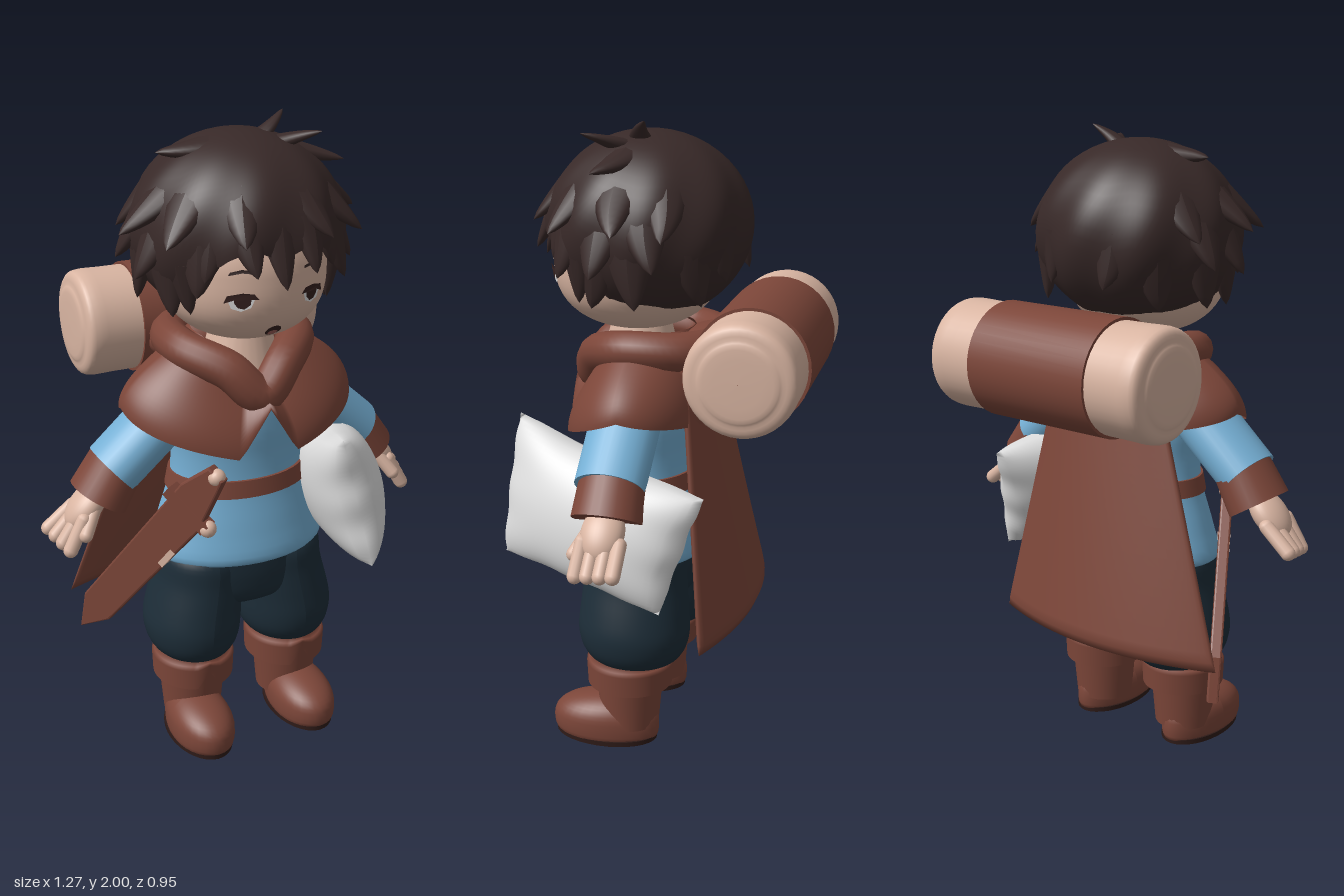
import * as THREE from 'three';
import { mergeGeometries } from 'three/addons/utils/BufferGeometryUtils.js';
import { ParametricGeometry } from 'three/addons/geometries/ParametricGeometry.js';

const V = (x, y, z) => new THREE.Vector3(x, y, z);
const { lerp, smoothstep } = THREE.MathUtils;
const colour = (name, hex, side = THREE.FrontSide) => {
  const m = new THREE.MeshStandardMaterial({ color: hex, side });
  m.name = name;
  return m;
};

export function createModel() {
  const model = new THREE.Group();
  model.name = 'traveller';
  const skin = colour('skin and canvas', 0xd9b5a2);
  const brown = colour('brown leather', 0x7c4639, THREE.DoubleSide);
  const blue = colour('blue cloth', 0x75afd4);
  const navy = colour('dark trousers', 0x1d2d38);
  const hair = colour('dark hair', 0x382928, THREE.DoubleSide);
  const white = colour('white linen', 0xdfdfdf, THREE.DoubleSide);
  const sole = colour('sole', 0x2e1b18);
  const ink = colour('eye', 0x35211f);
  const rose = colour('mouth', 0xa0605a);

  const add = (name, geo, mat, x = 0, y = 0, z = 0, sx = 1, sy = 1, sz = 1) => {
    const m = new THREE.Mesh(geo, mat);
    m.name = name;
    m.position.set(x, y, z);
    m.scale.set(sx, sy, sz);
    model.add(m);
    return m;
  };
  const ball = (name, mat, x, y, z, rx, ry, rz) => add(name, new THREE.SphereGeometry(1, 36, 24), mat, x, y, z, rx, ry, rz);
  const lathe = pts => new THREE.LatheGeometry(new THREE.SplineCurve(pts.map(p => new THREE.Vector2(...p))).getPoints(32), 40);
  const surface = (fn, nu, nv) => new ParametricGeometry((u, v, t) => t.copy(fn(u, v)), nu, nv);
  // Moves every vertex by a rule
  const reshape = (geo, rule) => {
    const p = geo.attributes.position;
    for (let i = 0; i < p.count; i++) p.setXYZ(i, ...rule(p.getX(i), p.getY(i), p.getZ(i)));
    geo.computeVertexNormals();
    return geo;
  };
  // Rod between two points, widened along its local z
  const rod = (name, mat, a, b, ra, rb, wide = 1) => {
    const m = add(name, new THREE.CylinderGeometry(rb, ra, a.distanceTo(b), 28), mat);
    m.position.copy(a).lerp(b, 0.5);
    m.quaternion.setFromUnitVectors(V(0, 1, 0), b.clone().sub(a).normalize());
    m.scale.z = wide;
    return m;
  };
  const finger = (name, a, b, r) => {
    rod(name, skin, a, b, r, r).geometry = new THREE.CapsuleGeometry(r, a.distanceTo(b), 6, 12);
  };

  // Body
  add('tunic', lathe([[0.2, 0.655], [0.287, 0.65], [0.265, 0.75], [0.225, 0.88], [0.215, 0.98], [0.22, 1.08], [0.2, 1.19], [0.1, 1.27]]), blue, 0, 0, 0.075, 1, 1, 0.72);
  add('belt', new THREE.CylinderGeometry(0.226, 0.237, 0.055, 40), brown, 0, 0.892, 0.075, 1, 1, 0.735);
  add('neck', new THREE.CylinderGeometry(0.08, 0.15, 0.27, 28), skin, 0, 1.295, 0.1);
  add('trouserSeat', lathe([[0.001, 0.45], [0.15, 0.46], [0.25, 0.5], [0.276, 0.58], [0.27, 0.68]]), navy, 0, 0, 0.083, 1, 1, 0.63);

  for (const s of [1, -1]) {
    const side = s > 0 ? 'left' : 'right';
    // Legs and boots
    const leg = lathe([[0.02, 0.275], [0.105, 0.285], [0.142, 0.325], [0.156, 0.39], [0.152, 0.47], [0.144, 0.56], [0.138, 0.64], [0.1, 0.7]]);
    add(side + 'TrouserLeg', reshape(leg, (x, y, z) => [x - s * 0.03 * smoothstep(y, 0.38, 0.62), y, z]), navy, s * 0.165, 0, 0.085, 1, 1, 1.17);
    add(side + 'BootShaft', new THREE.CylinderGeometry(0.115, 0.095, 0.22, 32), brown, s * 0.172, 0.165, 0.1);
    add(side + 'BootCuff', surface((u, v) => {
      const a = (u - 0.5) * Math.PI * 2;
      const hem = 0.2 + 0.06 * Math.max(0, 1 - Math.abs(a) / 0.3);
      const r = lerp(0.11, 0.135, smoothstep(v, 0, 0.2)) - 0.004 * v;
      return V(r * Math.sin(a), lerp(0.295, hem, v), r * 1.06 * Math.cos(a));
    }, 64, 8), brown, s * 0.168, 0, 0.1);
    const foot = reshape(new THREE.SphereGeometry(1, 32, 24), (x, y, z) =>
      [x * (0.1 + 0.012 * z), Math.max(0.012, 0.05 + Math.sign(y) * Math.abs(y) ** 0.75 * (0.1 - 0.012 * z)), z * 0.18]);
    add(side + 'BootFoot', foot, brown, s * 0.185, 0, 0.178);
    add(side + 'Sole', new THREE.CylinderGeometry(1, 1, 0.016, 32), sole, s * 0.185, 0.008, 0.178, 0.1, 1, 0.172);

    // Arms and hands
    rod(side + 'Sleeve', blue, V(s * 0.2, 1.165, 0.08), V(s * 0.42, 0.97, 0.08), 0.088, 0.086, 1.25);
    rod(side + 'Cuff', brown, V(s * 0.4, 0.988, 0.075), V(s * 0.465, 0.884, 0.075), 0.086, 0.093, 1.17);
    ball(side + 'Palm', skin, s * 0.505, 0.862, 0.075, 0.045, 0.088, 0.066).rotation.z = s * 0.75;
    for (let i = 0; i < 4; i++) {
      const z = 0.018 + i * 0.037;
      finger(side + 'Finger', V(s * 0.53, 0.84, z), V(s * (0.61 - 0.01 * i), 0.775 - 0.008 * i, z * 1.12 - 0.006), 0.023);
    }
    finger(side + 'Thumb', V(s * 0.495, 0.86, 0.12), V(s * 0.535, 0.8, 0.155), 0.022);
  }

  // Shoulder mantle with a split front
  add('mantle', surface((u, v) => {
    const a = (u - 0.5) * Math.PI * 2, f = Math.abs(a), c = Math.cos(a);
    const hem = f < 0.25 ? lerp(1.18, 1.03, f / 0.25) : f < 1.57 ? lerp(1.03, 1.155, (f - 0.25) / 1.32) : lerp(1.155, 1.08, (f - 1.57) / 1.57);
    const top = 1.37 - 0.13 * Math.max(0, c) ** 3, e = Math.sin(v * Math.PI / 2);
    return V(lerp(0.14, 0.38, e) * Math.sin(a), lerp(top, hem, v), 0.07 + lerp(0.14, c > 0 ? 0.25 : 0.22, e) * c);
  }, 96, 16), brown);
  // Hood folded down around the neck
  const half = [[0.092, 1.285, 0.215], [0.185, 1.325, 0.1], [0.16, 1.325, -0.07]];
  const ring = [[0, 1.205, 0.25], ...half, [0, 1.32, -0.16], ...half.slice().reverse().map(([x, y, z]) => [-x, y, z])];
  add('hoodCollar', new THREE.TubeGeometry(new THREE.CatmullRomCurve3(ring.map(q => V(...q)), true), 64, 0.06, 14, true), brown);
  ball('foldedHood', brown, 0, 1.28, -0.13, 0.21, 0.1, 0.13);

  // Long back cape, closed with a rounded hem
  add('cape', surface((u, v) => {
    const t = u * Math.PI * 2, s = Math.cos(t);
    const th = 0.02 * Math.sign(Math.sin(t)) * Math.sqrt(Math.abs(Math.sin(t))) * Math.sqrt(Math.min(1, (1 - v) * 24));
    return V(lerp(0.2 * s, -0.065 + 0.425 * s, v), lerp(1.24, 0.42, v), lerp(-0.09, -0.27, v) + 0.09 * s * s * v + th);
  }, 48, 28), brown);

  // Bedroll with a raised core at each end
  const end = [[0.001, 0.412], [0.1, 0.41], [0.125, 0.402], [0.155, 0.395], [0.17, 0.365], [0.169, 0.25]];
  const canvas = lathe([...end.map(([r, y]) => [r, -y]), ...end.slice().reverse()]);
  add('bedroll', canvas, skin, 0, 1.312, -0.298).rotation.z = Math.PI / 2;
  add('bedrollWrap', new THREE.CylinderGeometry(0.178, 0.178, 0.445, 40), brown, 0, 1.312, -0.298).rotation.z = Math.PI / 2;

  // Pillow: four corners, rippled edges and a full bulge on both sides
  const [A, B, C, D] = [V(0.175, 1.1, 0.45), V(0.28, 0.665, 0.475), V(0.455, 0.59, -0.08), V(0.385, 0.95, -0.2)];
  const out = C.clone().sub(A).cross(B.clone().sub(D)).normalize();
  for (const s of [1, -1]) add('pillow', surface((u, v) => {
    const x = u * 2 - 1, y = v * 2 - 1, inner = (1 - x * x) * (1 - y * y);
    const px = 0.5 + 0.5 * x * (1 - 0.035 * (1 - y * y) + 0.01 * Math.cos(9 * y));
    const py = 0.5 + 0.5 * y * (1 - 0.05 * (1 - x * x) + 0.01 * Math.cos(9 * x));
    const p = A.clone().lerp(D, px).lerp(B.clone().lerp(C, px), py);
    return p.addScaledVector(out, s * 0.13 * Math.pow(Math.max(0, inner), 0.42));
  }, 36, 30), white);

  // Wooden sword hung at the right hip
  const sword = new THREE.Group();
  sword.name = 'sword';
  const blade = new THREE.Shape([[-0.02, 0], [0.03, 0], [0.06, 0.12], [0.058, 0.78], [0, 0.9], [-0.05, 0.78], [-0.065, 0.2]].map(q => new THREE.Vector2(...q)));
  const part = (name, geo, mat, x, y) => { const m = new THREE.Mesh(geo, mat); m.name = name; m.position.set(x, y, 0); sword.add(m); return m; };
  part('blade', new THREE.ExtrudeGeometry(blade, { depth: 0.025, bevelSize: 0.006, bevelThickness: 0.006, bevelSegments: 2 }), brown, 0, 0).position.z = -0.0125;
  part('pommel', new THREE.SphereGeometry(0.027, 16, 12), skin, 0, 0.01);
  part('guard', new THREE.BoxGeometry(0.17, 0.04, 0.045), brown, 0, 0.18);
  part('guardTip', new THREE.SphereGeometry(0.027, 16, 12), skin, -0.085, 0.18);
  part('bladeBand', new THREE.BoxGeometry(0.02, 0.08, 0.042), skin, -0.056, 0.38);
  const down = V(-0.28, -0.71, -0.49).normalize();
  const lean = V(-0.45, 0.6, -0.62);
  const across = lean.addScaledVector(down, -lean.dot(down)).normalize();
  sword.quaternion.setFromRotationMatrix(new THREE.Matrix4().makeBasis(across, down, across.clone().cross(down)));
  sword.position.set(-0.18, 1.01, 0.34);
  model.add(sword);

  // Head with full cheeks; face details follow its curve
  const headWidth = t => Math.sqrt(Math.max(0, 1 - Math.abs(t) ** (t < 0 ? 3 : 2)));
  add('head', surface((u, v) => {
    const a = u * Math.PI * 2, t = -Math.cos((0.004 + 0.992 * v) * Math.PI), k = headWidth(t);
    return V(0.25 * k * Math.sin(a), 1.6 + 0.24 * t, 0.11 + 0.262 * k * Math.cos(a));
  }, 48, 32), skin);
  const paint = (name, pts, mat, lift) => {
    const g = new THREE.ShapeGeometry(new THREE.Shape(pts.map(q => new THREE.Vector2(...q))));
    const onFace = (x, y) => [x, y, 0.11 + 0.262 * Math.sqrt(headWidth((y - 1.6) / 0.24) ** 2 - (x / 0.25) ** 2) + lift];
    add(name, reshape(g, onFace), mat);
  };
  const oval = (x, y, rx, ry) => Array.from({ length: 16 }, (_, i) => [x + rx * Math.cos(i * Math.PI / 8), y + ry * Math.sin(i * Math.PI / 8)]);
  for (const s of [1, -1]) {
    const flip = pts => (s > 0 ? pts : pts.slice().reverse()).map(([x, y]) => [s * x, y]);
    paint('eyeWhite', flip([[0.075, 1.548], [0.085, 1.518], [0.11, 1.506], [0.135, 1.514], [0.147, 1.545]]), white, 0.004);
    paint('iris', flip([[0.086, 1.55], [0.088, 1.528], [0.103, 1.514], [0.12, 1.518], [0.13, 1.533], [0.13, 1.55]]), ink, 0.006);
    paint('eyelid', flip([[0.066, 1.543], [0.09, 1.544], [0.13, 1.542], [0.155, 1.53], [0.148, 1.553], [0.11, 1.563], [0.08, 1.56]]), ink, 0.008);
    paint('eyebrow', flip([[0.075, 1.616], [0.11, 1.62], [0.145, 1.611], [0.14, 1.621], [0.11, 1.63], [0.076, 1.624]]), hair, 0.005);
  }
  paint('lips', oval(0, 1.43, 0.024, 0.02), ink, 0.005);
  paint('tongue', oval(0, 1.423, 0.015, 0.01), rose, 0.007);

  // Softly ridged hair cap with a jagged hem
  const onHair = (a, p) => {
    const r = Math.sin(p) * (1 + 0.018 * Math.sin(9 * a + 3 * p) * Math.sin(p) ** 2);
    return V(0.32 * r * Math.sin(a), 1.68 + 0.285 * Math.cos(p), 0.07 + 0.315 * r * Math.cos(a));
  };
  const hemAngle = a => 1.54 + 1.02 * smoothstep(Math.abs(a), 0.45, 1.6) + 0.2 * smoothstep(Math.abs(a), 1.5, 2.4);
  add('hairCap', surface((u, v) => {
    const a = (u - 0.5) * Math.PI * 2;
    const jag = 0.14 * Math.abs(((a * 3.5 + 20) % 2) - 1);
    return onHair(a, (0.002 + 0.998 * v) * (hemAngle(a) + jag));
  }, 112, 24), hair);

  // Plump curved locks that grow out of the cap
  let seed = 7;
  const rand = () => (seed = (seed * 16807) % 2147483647) / 2147483647;
  const locks = [];
  const lock = (a, p, len, r, lift, curl) => {
    const base = onHair(a, p);
    const normal = base.clone().sub(V(0, 1.68, 0.07)).normalize();
    const fall = onHair(a, p + 0.02).sub(base).normalize();
    const dir = fall.addScaledVector(normal, lift).normalize();
    const wide = dir.clone().cross(normal).normalize();
    const g = reshape(new THREE.ConeGeometry(r, len, 12, 8).translate(0, len / 2, 0), (x, y, z) => {
      const t = y / len, fat = Math.max(1 - t, 0.02) ** -0.35;
      return [x * fat + curl * t * t, y, z * fat * 0.55];
    });
    base.addScaledVector(normal, -0.55 * r);
    locks.push(g.applyMatrix4(new THREE.Matrix4().makeBasis(wide, dir, wide.clone().cross(dir)).setPosition(base)));
  };
  // Hem all round
  for (let i = 0; i < 19; i++) {
    const a = (i - 9) / 19 * Math.PI * 2, front = Math.max(0, Math.cos(a)) ** 4;
    lock(a, hemAngle(a) - 0.26, (i === 9 ? 0.19 : 0.15) + 0.03 * (rand() - 0.5), 0.064, 0.16 - 0.04 * front, (rand() - 0.5) * 0.06);
  }
  // Tufts on both sides: angle, height, length, lift
  const tufts = [[0.8, 1.5, 0.16, 0.25], [1.2, 1.85, 0.15, 0.35], [1.7, 1.75, 0.16, 0.4], [1.3, 1.5, 0.15, 0.55], [1.8, 1.4, 0.15, 0.4],
    [1.4, 1.05, 0.18, 0.5], [0.9, 1.05, 0.18, 0.35], [2.0, 1.05, 0.17, 0.25], [2.3, 1.75, 0.16, 0.25], [0.4, 0.95, 0.18, 0.15], [2.7, 1.5, 0.16, 0.15]];
  for (const s of [1, -1]) for (const [a, p, len, lift] of tufts)
    lock(s * (a + 0.15 * (rand() - 0.5)), p, len, 0.075, lift, (rand() - 0.5) * 0.08);
  // Crown tufts and cowlick
  lock(-1.4, 0.3, 0.17, 0.07, 0.28, 0.04);
  lock(1.1, 0.4, 0.14, 0.045, 0.9, 0.05);
  lock(1.5, 0.25, 0.11, 0.04, 1.3, -0.04);
  lock(1.4, 0.55, 0.17, 0.06, 0.35, 0.04);
  add('hairLocks', mergeGeometries(locks), hair);

  return model;
}
